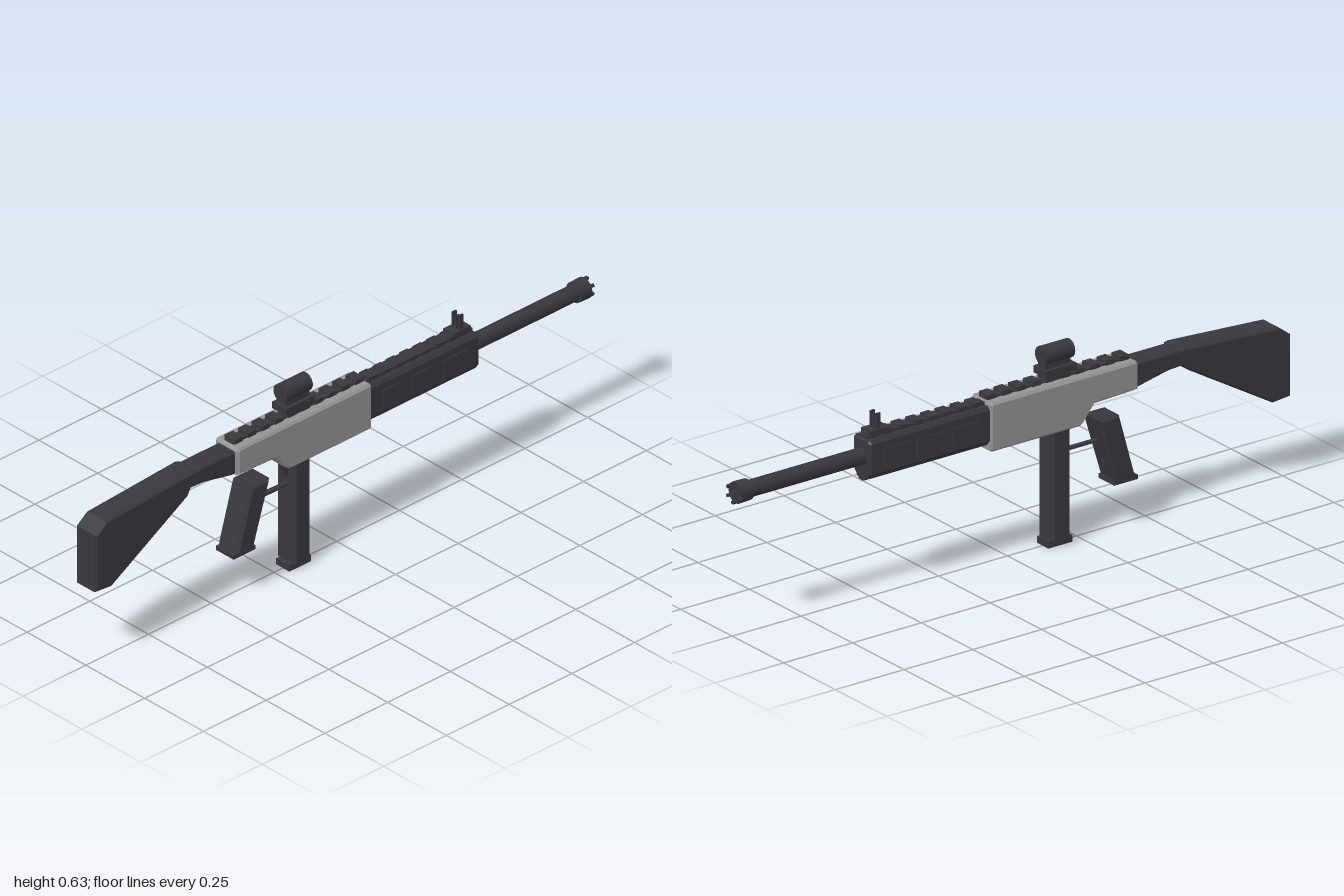
import * as THREE from 'three';

const dark = new THREE.MeshStandardMaterial({ color: 0x39373d });
dark.name = 'dark gunmetal';
const grey = new THREE.MeshStandardMaterial({ color: 0x939393 });
grey.name = 'light grey metal';

export function createModel() {
  const model = new THREE.Group();

  function add(name, geometry, material = dark, x = 0, y = 0, z = 0) {
    const mesh = new THREE.Mesh(geometry, material);
    mesh.name = name;
    mesh.position.set(x, y, z);
    model.add(mesh);
    return mesh;
  }

  // Box given by its width and its y and z ranges
  function box(name, width, y0, y1, z0, z1, x = 0, material = dark) {
    return add(name, new THREE.BoxGeometry(width, y1 - y0, Math.abs(z1 - z0)), material, x, (y0 + y1) / 2, (z0 + z1) / 2);
  }

  // Shape extruded to a total depth, with chamfers inside the outline
  function chamfered(points, depth, bevel) {
    const shape = new THREE.Shape(points.map(([a, b]) => new THREE.Vector2(a, b)));
    const g = new THREE.ExtrudeGeometry(shape, {
      depth: depth - 2 * bevel, bevelEnabled: bevel > 0, bevelThickness: bevel,
      bevelSize: bevel, bevelOffset: -bevel, bevelSegments: 1,
    });
    return g.translate(0, 0, bevel - depth / 2);
  }

  // Side profile of (z, y) points, extruded across x
  function profile(name, points, width, bevel, material = dark) {
    return add(name, chamfered(points, width, bevel).rotateY(-Math.PI / 2), material);
  }

  // Cylinder along z
  function tube(name, radius, y, z0, z1, sides, radiusEnd = radius) {
    const g = new THREE.CylinderGeometry(radius, radiusEnd, Math.abs(z1 - z0), sides).rotateX(Math.PI / 2);
    return add(name, g, dark, 0, y, (z0 + z1) / 2);
  }

  // Stock and its neck
  profile('stock', [[1, 0.46], [0.957, 0.492], [0.61, 0.514], [0.595, 0.51], [0.63, 0.44], [0.935, 0.26], [1, 0.266]], 0.086, 0.006);
  profile('stockNeck', [[0.63, 0.509], [0.43, 0.509], [0.43, 0.432], [0.45, 0.432], [0.56, 0.455], [0.63, 0.459]], 0.074, 0.005);

  // Receiver
  profile('receiver', [[0.44, 0.513], [0.433, 0.521], [-0.09, 0.521], [-0.096, 0.514], [-0.096, 0.372], [-0.09, 0.366],
    [0.23, 0.366], [0.243, 0.374], [0.283, 0.425], [0.44, 0.431]], 0.1, 0.007, grey);

  // Handguard, lower tube and side panels
  const guardSection = [[-0.034, 0.508], [-0.043, 0.498], [-0.043, 0.402], [-0.03, 0.385], [0.03, 0.385], [0.043, 0.402], [0.043, 0.498], [0.034, 0.508]];
  add('handguard', chamfered(guardSection.slice().reverse(), 0.445, 0.006), dark, 0, 0, -0.3075);
  tube('lowerTube', 0.027, 0.4, -0.09, -0.53, 16);
  for (const side of [-1, 1]) {
    for (const [z0, z1] of [[-0.14, -0.23], [-0.255, -0.36], [-0.385, -0.48]]) {
      box('handguardPanel', 0.008, 0.42, 0.475, z0, z1, side * 0.0425);
    }
  }

  // Top rails with cross slats
  box('receiverRail', 0.036, 0.515, 0.527, -0.09, 0.43);
  box('handguardRail', 0.036, 0.5, 0.516, -0.09, -0.525);
  for (let i = 0; i < 10; i++) {
    const z = 0.41 - i * 0.0535;
    box('receiverRailSlat', 0.044, 0.521, 0.536, z - 0.016, z + 0.016);
  }
  for (let i = 0; i < 8; i++) {
    const z = -0.125 - i * 0.0535;
    box('handguardRailSlat', 0.044, 0.508, 0.522, z - 0.016, z + 0.016);
  }

  // Barrel and crowned muzzle
  tube('barrel', 0.026, 0.45, -0.5, -0.95, 16);
  tube('muzzleCollar', 0.033, 0.45, -0.945, -0.988, 16, 0.034);
  for (let i = 0; i < 6; i++) {
    const a = (i / 6) * Math.PI * 2 + Math.PI / 6;
    const prong = add('muzzleProng', new THREE.BoxGeometry(0.008, 0.01, 0.02), dark,
      Math.cos(a) * 0.029, 0.45 + Math.sin(a) * 0.029, -0.99);
    prong.rotation.z = a;
  }

  // Front sight with three posts
  box('frontSightBase', 0.044, 0.51, 0.53, -0.445, -0.515);
  for (const x of [-0.014, 0, 0.014]) {
    box('frontSightPost', 0.006, 0.525, x ? 0.578 : 0.57, -0.473, -0.489, x);
  }

  // Optic on its mount
  box('opticFoot', 0.044, 0.522, 0.537, 0.14, 0.205);
  box('opticStem', 0.032, 0.535, 0.545, 0.13, 0.215);
  box('opticMount', 0.061, 0.54, 0.562, 0.117, 0.23);
  box('opticNeck', 0.036, 0.56, 0.585, 0.125, 0.215);
  tube('opticTube', 0.029, 0.601, 0.122, 0.225, 24);

  // Pistol grip
  profile('grip', [[0.378, 0.362], [0.303, 0.362], [0.366, 0.156], [0.436, 0.156]], 0.086, 0.008);
  box('gripFoot', 0.076, 0.143, 0.157, 0.36, 0.446);
  box('gripStrip', 0.012, 0.195, 0.32, 0.346, 0.35);

  // Trigger and guard bar
  profile('trigger', [[0.228, 0.366], [0.205, 0.366], [0.2, 0.32], [0.21, 0.318]], 0.016, 0);
  box('triggerGuard', 0.016, 0.281, 0.288, 0.19, 0.33);

  // Magazine
  box('magazine', 0.077, 0.017, 0.368, 0.145, 0.197);
  box('magazineFoot', 0.056, 0, 0.021, 0.128, 0.215);

  return model;
}
